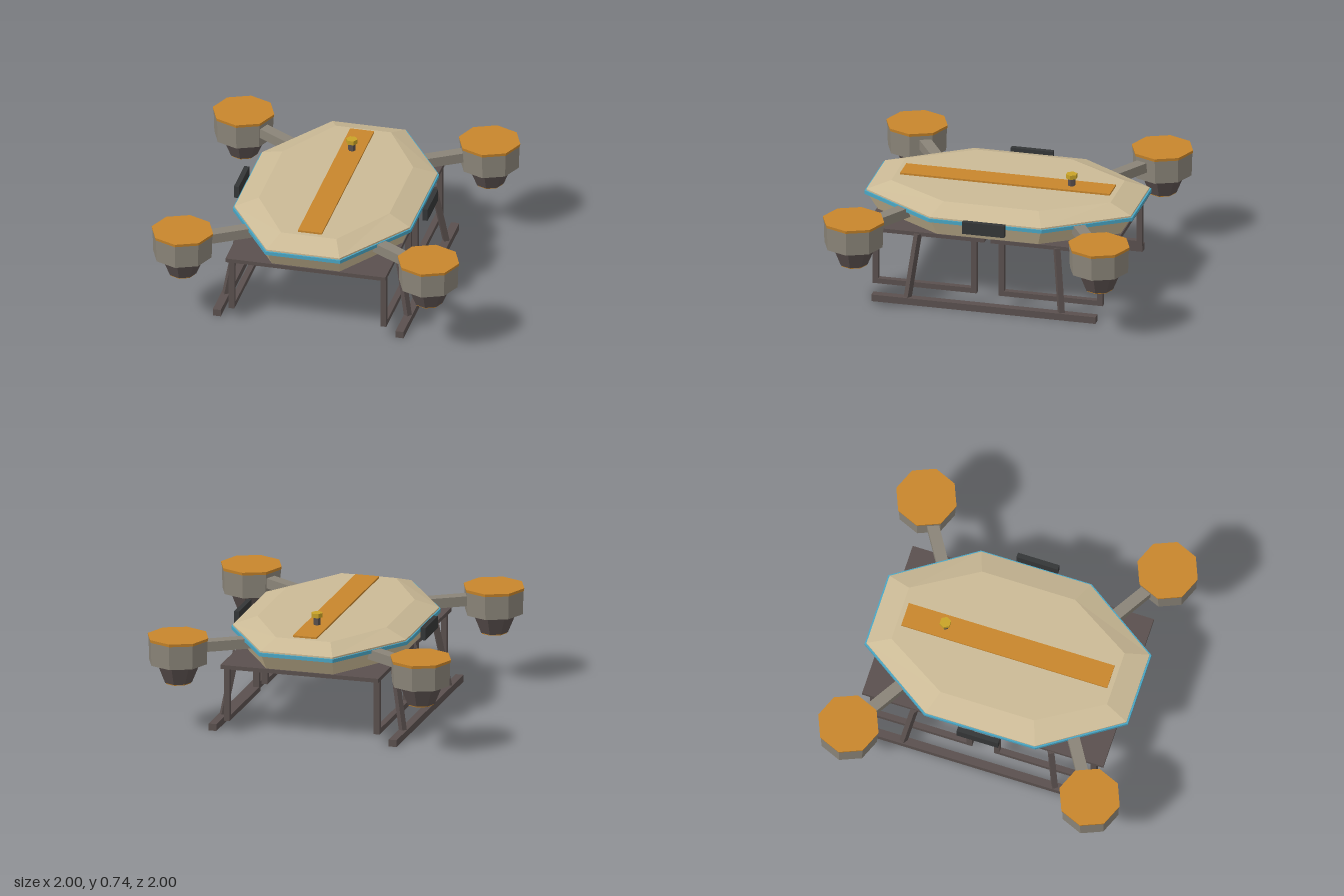
import * as THREE from 'three';

const mat = (name, color) => {
  const m = new THREE.MeshStandardMaterial({ color, flatShading: true });
  m.name = name;
  return m;
};

// Lofts eight-sided rings [y, endHalfWidth, endZ, sideX, sideHalfLength], bottom to top, with caps.
function loftOctagon(rings) {
  const pos = [], index = [];
  for (const [y, a, b, c, d] of rings) {
    for (const [x, z] of [[a, b], [c, d], [c, -d], [a, -b], [-a, -b], [-c, -d], [-c, d], [-a, b]]) pos.push(x, y, z);
  }
  for (let r = 0; r < rings.length - 1; r++) {
    for (let i = 0; i < 8; i++) {
      const p = r * 8 + i, q = r * 8 + (i + 1) % 8;
      index.push(p, q, q + 8, p, q + 8, p + 8);
    }
  }
  const top = (rings.length - 1) * 8;
  for (let i = 1; i < 7; i++) index.push(0, i + 1, i, top, top + i, top + i + 1);
  const g = new THREE.BufferGeometry();
  g.setAttribute('position', new THREE.Float32BufferAttribute(pos, 3));
  g.setIndex(index);
  const flat = g.toNonIndexed();
  flat.computeVertexNormals();
  return flat;
}

export function createModel() {
  const model = new THREE.Group();
  model.name = 'quadcopter';

  const cream = mat('cream hull', 0xcbba96);
  const blue = mat('blue trim', 0x4aa6c4);
  const orange = mat('orange', 0xc8862c);
  const yellow = mat('yellow', 0xc9a227);
  const grey = mat('warm grey', 0x8a8478);
  const brown = mat('dark brown grey', 0x5a504e);
  const black = mat('charcoal', 0x343637);

  const add = (name, geometry, material, x = 0, y = 0, z = 0) => {
    const m = new THREE.Mesh(geometry, material);
    m.name = name;
    m.position.set(x, y, z);
    model.add(m);
    return m;
  };
  const box = (name, material, w, h, d, x, y, z) =>
    add(name, new THREE.BoxGeometry(w, h, d), material, x, y, z);
  const drum = (name, material, rTop, rBottom, y0, y1, x, z, sides = 8) =>
    add(name, new THREE.CylinderGeometry(rTop, rBottom, y1 - y0, sides), material, x, (y0 + y1) / 2, z);
  // Square bar between two points, its depth axis along the run
  const beam = (name, material, w, h, from, to) => {
    const a = new THREE.Vector3(...from), b = new THREE.Vector3(...to);
    const mid = a.clone().add(b).multiplyScalar(0.5);
    const m = box(name, material, w, h, a.distanceTo(b), mid.x, mid.y, mid.z);
    m.lookAt(b);
    return m;
  };

  // Faceted hull: lower tub, trim band, upper shell
  add('lowerHull', loftOctagon([[0.46, 0.22, 0.79, 0.515, 0.33], [0.566, 0.235, 0.855, 0.56, 0.358]]), cream);
  add('trimBand', loftOctagon([[0.564, 0.242, 0.873, 0.579, 0.367], [0.587, 0.242, 0.873, 0.579, 0.367]]), blue);
  add('upperHull', loftOctagon([
    [0.586, 0.237, 0.862, 0.57, 0.362],
    [0.597, 0.237, 0.862, 0.57, 0.362],
    [0.65, 0.18, 0.715, 0.425, 0.31],
  ]), cream);

  // Spine stripe and antenna
  box('spineStripe', orange, 0.156, 0.014, 1.366, 0, 0.655, 0);
  drum('antennaPost', brown, 0.024, 0.024, 0.66, 0.715, 0, -0.415, 6).rotation.y = Math.PI / 6;
  drum('antennaCap', yellow, 0.037, 0.037, 0.712, 0.74, 0, -0.415, 6).rotation.y = Math.PI / 6;

  for (const s of [1, -1]) {
    // Side panels and landing skids
    box('sidePanel', black, 0.032, 0.08, 0.275, s * 0.614, 0.57, 0);
    box('skid', brown, 0.052, 0.045, 1.46, s * 0.594, 0.0225, 0);
    // Belly plates and belly sensors, one fore and one aft
    box('bellyPlate', brown, 1.04, 0.026, 0.78, 0, 0.449, s * 0.41);
    box('bellySensor', yellow, 0.23, 0.05, 0.226, 0, 0.412, s * 0.413);
  }

  for (const sx of [1, -1]) {
    for (const sz of [1, -1]) {
      // Rotor pod
      const x = sx * 0.8, z = sz * 0.8;
      drum('podLid', orange, 0.2, 0.197, 0.611, 0.63, x, z);
      drum('podBody', grey, 0.195, 0.19, 0.458, 0.612, x, z);
      drum('podNozzle', brown, 0.145, 0.092, 0.331, 0.459, x, z);
      drum('podOutlet', orange, 0.088, 0.086, 0.324, 0.332, x, z);
      // Arm from hull to pod
      beam('arm', grey, 0.075, 0.065, [sx * 0.36, 0.552, sz * 0.53], [sx * 0.76, 0.552, sz * 0.776]);
      // Splayed skid leg
      beam('skidLeg', brown, 0.036, 0.036, [sx * 0.594, 0.03, sz * 0.502], [sx * 0.52, 0.45, sz * 0.453]);
      // Guard frame under the plate
      for (const pz of [0.09, 0.732]) {
        box('guardPost', brown, 0.038, 0.34, 0.036, sx * 0.494, 0.27, sz * pz);
      }
      box('guardRail', brown, 0.038, 0.034, 0.678, sx * 0.494, 0.096, sz * 0.411);
    }
  }
  return model;
}
